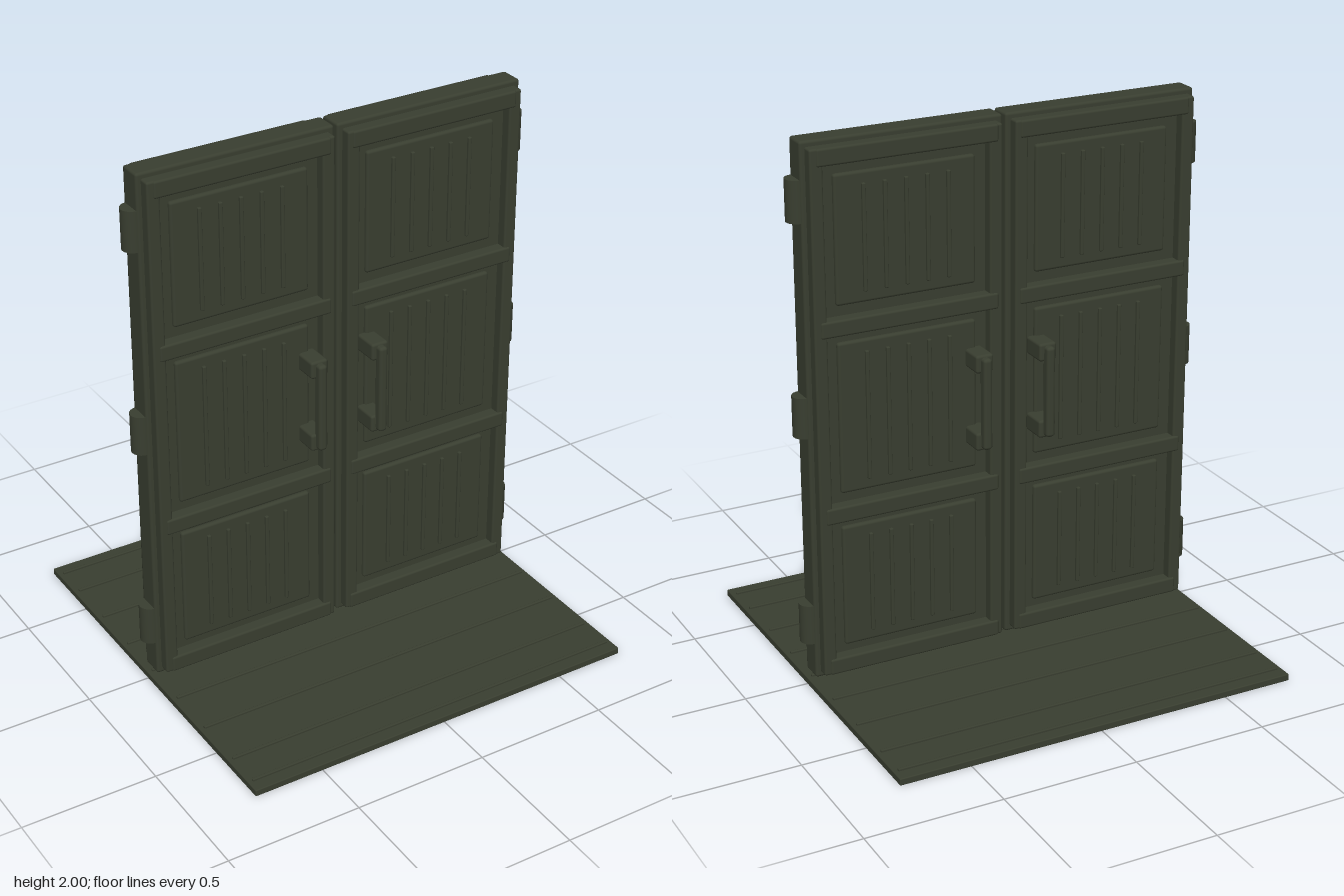
import * as THREE from 'three';
import { RoundedBoxGeometry } from 'three/addons/geometries/RoundedBoxGeometry.js';

const paint = new THREE.MeshStandardMaterial({ color: 0x393e30 });
paint.name = 'dark olive paint';

// Bevelled box given by its limits on each axis
function block(parent, name, x0, x1, y0, y1, z0, z1, bevel = 0.008) {
  const geo = new RoundedBoxGeometry(x1 - x0, y1 - y0, z1 - z0, 2, bevel);
  const mesh = new THREE.Mesh(geo, paint);
  mesh.name = name;
  mesh.position.set((x0 + x1) / 2, (y0 + y1) / 2, (z0 + z1) / 2);
  parent.add(mesh);
  return mesh;
}

// One door leaf; side is +1 for left, -1 for right
function makeDoor(side) {
  const door = new THREE.Group();
  door.name = side > 0 ? 'leftDoor' : 'rightDoor';
  const add = (name, x0, x1, ...rest) =>
    side > 0 ? block(door, name, x0, x1, ...rest) : block(door, name, -x1, -x0, ...rest);

  add('leaf', 0.006, 0.747, 0.04, 2, -0.044, 0.044, 0.01);

  // Frame, standing proud on both faces
  add('innerStile', 0.025, 0.073, 0.06, 1.98, -0.083, 0.083);
  add('outerStile', 0.682, 0.729, 0.06, 1.98, -0.083, 0.083);
  for (const [y0, y1] of [[0.06, 0.12], [0.64, 0.7], [1.323, 1.382], [1.918, 1.98]]) {
    add('rail', 0.042, 0.706, y0, y1, -0.088, 0.088);
  }

  // Raised panels with upright ribs
  for (const [y0, y1] of [[0.15, 0.608], [0.735, 1.288], [1.42, 1.878]]) {
    add('panel', 0.116, 0.636, y0, y1, -0.058, 0.058, 0.01);
    for (let i = 0; i < 5; i++) {
      const x = 0.375 + (i - 2) * 0.078;
      add('panelRib', x - 0.007, x + 0.007, y0 + 0.04, y1 - 0.04, -0.068, 0.068, 0.004);
    }
  }

  // Pull handles, front and back
  for (const f of [1, -1]) {
    for (const y of [0.863, 1.152]) {
      const z = [0.04 * f, 0.142 * f].sort((a, b) => a - b);
      add('handleMount', 0.09, 0.157, y - 0.033, y + 0.033, ...z, 0.01);
    }
    const z = [0.13 * f, 0.168 * f].sort((a, b) => a - b);
    add('handleGrip', 0.107, 0.14, 0.838, 1.177, ...z, 0.012);
  }

  // Hinge barrels on the outer edge
  for (const y of [0.247, 1.03, 1.795]) {
    const hinge = new THREE.Mesh(new THREE.CylinderGeometry(0.039, 0.039, 0.148, 20), paint);
    hinge.name = 'hinge';
    hinge.position.set(side * 0.745, y, 0);
    door.add(hinge);
  }
  return door;
}

export function createModel() {
  const model = new THREE.Group();
  model.name = 'doubleDoor';

  // Floor plate with cross ribs
  const floor = new THREE.Group();
  floor.name = 'floor';
  block(floor, 'floorPlate', -0.765, 0.765, 0, 0.026, -0.772, 0.772, 0.004);
  for (const z of [-0.72, -0.585, -0.387, -0.19, 0, 0.19, 0.387, 0.585, 0.72]) {
    block(floor, 'floorRib', -0.748, 0.748, 0.015, 0.034, z - 0.006, z + 0.006, 0.003);
  }
  model.add(floor, makeDoor(1), makeDoor(-1));
  return model;
}
